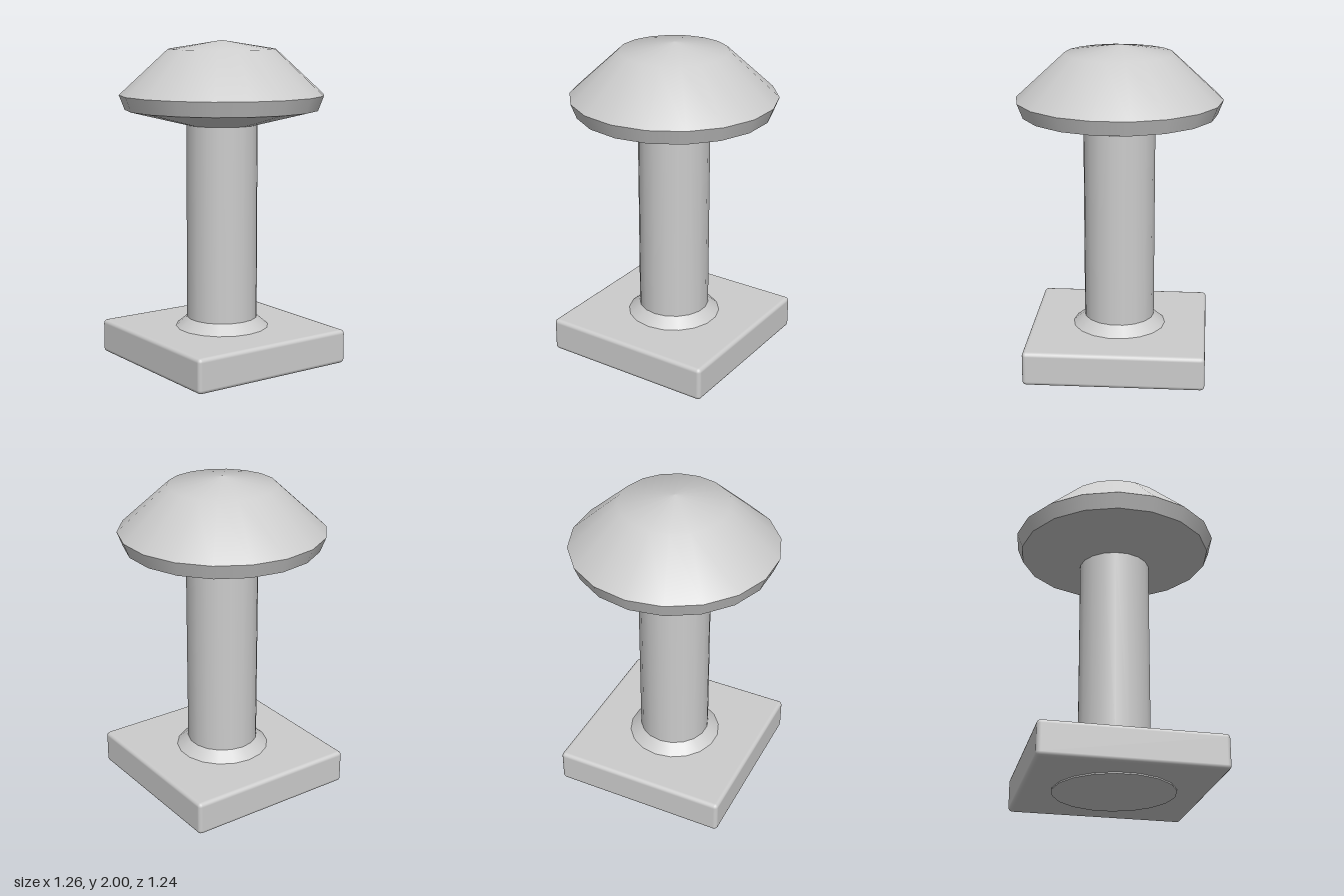
import * as THREE from 'three';
import { RoundedBoxGeometry } from 'three/addons/geometries/RoundedBoxGeometry.js';

const SIDES = 18;

export function createModel() {
  const group = new THREE.Group();
  const grey = new THREE.MeshStandardMaterial({ color: 0xcccccc });
  grey.name = 'light grey';

  const add = (name, geometry, y = 0) => {
    const mesh = new THREE.Mesh(geometry, grey);
    mesh.name = name;
    mesh.position.y = y;
    group.add(mesh);
    return mesh;
  };

  // Turned section given as [radius, height] from bottom to top, a corner on the x axis
  const turned = (name, profile) => {
    const points = profile.map(([r, y]) => new THREE.Vector2(r, y));
    add(name, new THREE.LatheGeometry(points, SIDES, Math.PI / 2));
  };

  // Square base plate with softened edges, on a thin round foot
  add('basePlate', new RoundedBoxGeometry(1.1, 0.212, 1.1, 2, 0.025), 0.114);
  add('foot', new THREE.CylinderGeometry(0.37, 0.37, 0.01, SIDES).rotateY(Math.PI / 2), 0.005);

  // Post with a flared collar
  turned('collar', [[0.29, 0.22], [0.22, 0.28]]);
  turned('post', [[0.22, 0.28], [0.22, 1.487]]);

  // Cap: separate sections keep the rim creases sharp
  turned('capUnderside', [[0.22, 1.487], [0.595, 1.58]]);
  turned('capRim', [[0.595, 1.58], [0.63, 1.67]]);
  turned('capDome', [[0.63, 1.67], [0.33, 1.947], [0, 2]]);

  return group;
}
